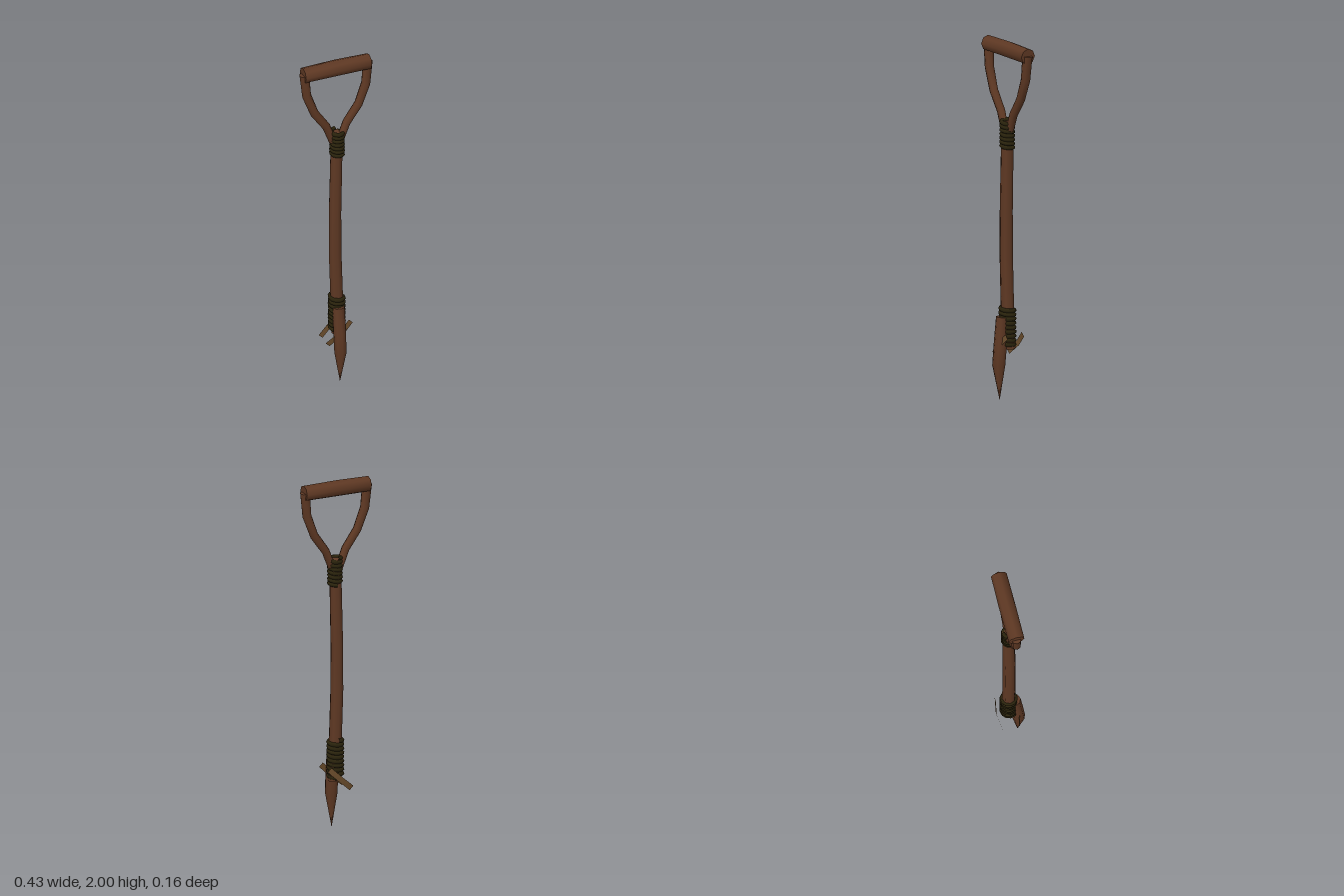
import * as THREE from 'three';

const wood = new THREE.MeshStandardMaterial({ name: 'brownWood', color: 0x5e3823 });
const cord = new THREE.MeshStandardMaterial({ name: 'darkCord', color: 0x2a230c });
const straw = new THREE.MeshStandardMaterial({ name: 'strawFibre', color: 0x6b4d2c, side: THREE.DoubleSide });

// Capped round limb through stations [x, y, z, radius], smooth along its sides
function limb(stations, sides = 8) {
  const pos = [], idx = [];
  const pts = stations.map(s => new THREE.Vector3(s[0], s[1], s[2]));
  const last = pts.length - 1;
  const zAxis = new THREE.Vector3(0, 0, 1);
  const ring = i => {
    const t = pts[Math.min(i + 1, last)].clone().sub(pts[Math.max(i - 1, 0)]).normalize();
    const u = t.clone().cross(zAxis).normalize();
    const v = t.clone().cross(u);
    const start = pos.length / 3;
    for (let j = 0; j < sides; j++) {
      const a = j / sides * Math.PI * 2, r = stations[i][3];
      const p = pts[i].clone().addScaledVector(u, Math.cos(a) * r).addScaledVector(v, Math.sin(a) * r);
      pos.push(p.x, p.y, p.z);
    }
    return start;
  };
  const rings = pts.map((p, i) => ring(i));
  for (let i = 0; i < last; i++) {
    for (let j = 0; j < sides; j++) {
      const k = (j + 1) % sides;
      const a = rings[i] + j, b = rings[i] + k, c = rings[i + 1] + j, d = rings[i + 1] + k;
      idx.push(a, b, c, b, d, c);
    }
  }
  for (const end of [0, last]) {
    const start = ring(end), centre = pos.length / 3;
    pos.push(...pts[end].toArray());
    for (let j = 0; j < sides; j++) {
      const a = start + j, b = start + (j + 1) % sides;
      if (end === 0) idx.push(centre, b, a);
      else idx.push(centre, a, b);
    }
  }
  const g = new THREE.BufferGeometry();
  g.setAttribute('position', new THREE.Float32BufferAttribute(pos, 3));
  g.setIndex(idx);
  g.computeVertexNormals();
  return g;
}

// Cord wound in a helix around the shaft
function binding(x, z, y0, y1, radius, thickness, turns) {
  const pts = [];
  const n = turns * 12;
  for (let i = 0; i <= n; i++) {
    const a = i / 12 * Math.PI * 2 - Math.PI / 2;
    pts.push(new THREE.Vector3(x + Math.cos(a) * radius, y0 + (y1 - y0) * i / n, z + Math.sin(a) * radius));
  }
  return new THREE.TubeGeometry(new THREE.CatmullRomCurve3(pts), n, thickness, 6);
}

// Thin folded strip of fibre crossing diagonally, through points [x, y, z]
function strip(points, halfWidth) {
  const pos = [], idx = [];
  points.forEach(([x, y, z], i) => {
    const w = halfWidth * 0.7;
    pos.push(x + w, y - w, z, x - w, y + w, z);
    if (i) {
      const k = i * 2;
      idx.push(k - 2, k, k - 1, k - 1, k, k + 1);
    }
  });
  const g = new THREE.BufferGeometry();
  g.setAttribute('position', new THREE.Float32BufferAttribute(pos, 3));
  g.setIndex(idx);
  g.computeVertexNormals();
  return g;
}

export function createModel() {
  const model = new THREE.Group();
  model.name = 'diggingStick';
  const add = (name, geometry, material) => {
    const mesh = new THREE.Mesh(geometry, material);
    mesh.name = name;
    model.add(mesh);
  };

  // Slightly bowed shaft
  add('shaft', limb([
    [0.01, 0.28, -0.015, 0.037], [0.002, 0.5, -0.01, 0.037], [-0.008, 0.8, -0.009, 0.037],
    [-0.008, 1.05, -0.009, 0.036], [0, 1.4, -0.01, 0.035], [0.003, 1.55, -0.01, 0.034]
  ]), wood);

  // Pointed stake tied to the front of the shaft
  add('point', limb([
    [0, 0, 0.04, 0.001], [0, 0.19, 0.046, 0.036],
    [0, 0.3, 0.036, 0.037], [0, 0.46, 0.022, 0.035]
  ]), wood);

  // Forked handle arms and the crossbar grip
  for (const s of [-1, 1]) {
    add(s > 0 ? 'leftArm' : 'rightArm', limb([
      [s * 0.022, 1.5, -0.01, 0.022], [s * 0.06, 1.6, -0.01, 0.023], [s * 0.13, 1.7, -0.01, 0.024],
      [s * 0.175, 1.82, -0.012, 0.026], [s * 0.188, 1.955, -0.015, 0.028]
    ]), wood);
  }
  add('grip', limb([
    [-0.195, 1.953, -0.015, 0.044], [0, 1.955, -0.016, 0.046], [0.195, 1.953, -0.015, 0.044]
  ]), wood);

  // Cord bindings
  add('upperBinding', binding(0.003, -0.008, 1.405, 1.56, 0.032, 0.012, 7), cord);
  add('lowerBinding', binding(0.002, -0.01, 0.3, 0.515, 0.037, 0.013, 9), cord);

  // Loose fibres tucked behind and in front
  add('backFibre', strip([[-0.07, 0.24, -0.064], [0, 0.3, -0.079], [0.065, 0.362, -0.069]], 0.016), straw);
  add('frontFibre', strip([[-0.07, 0.24, 0.032], [0, 0.3, 0.05], [0.065, 0.362, 0.038]], 0.016), straw);

  return model;
}
